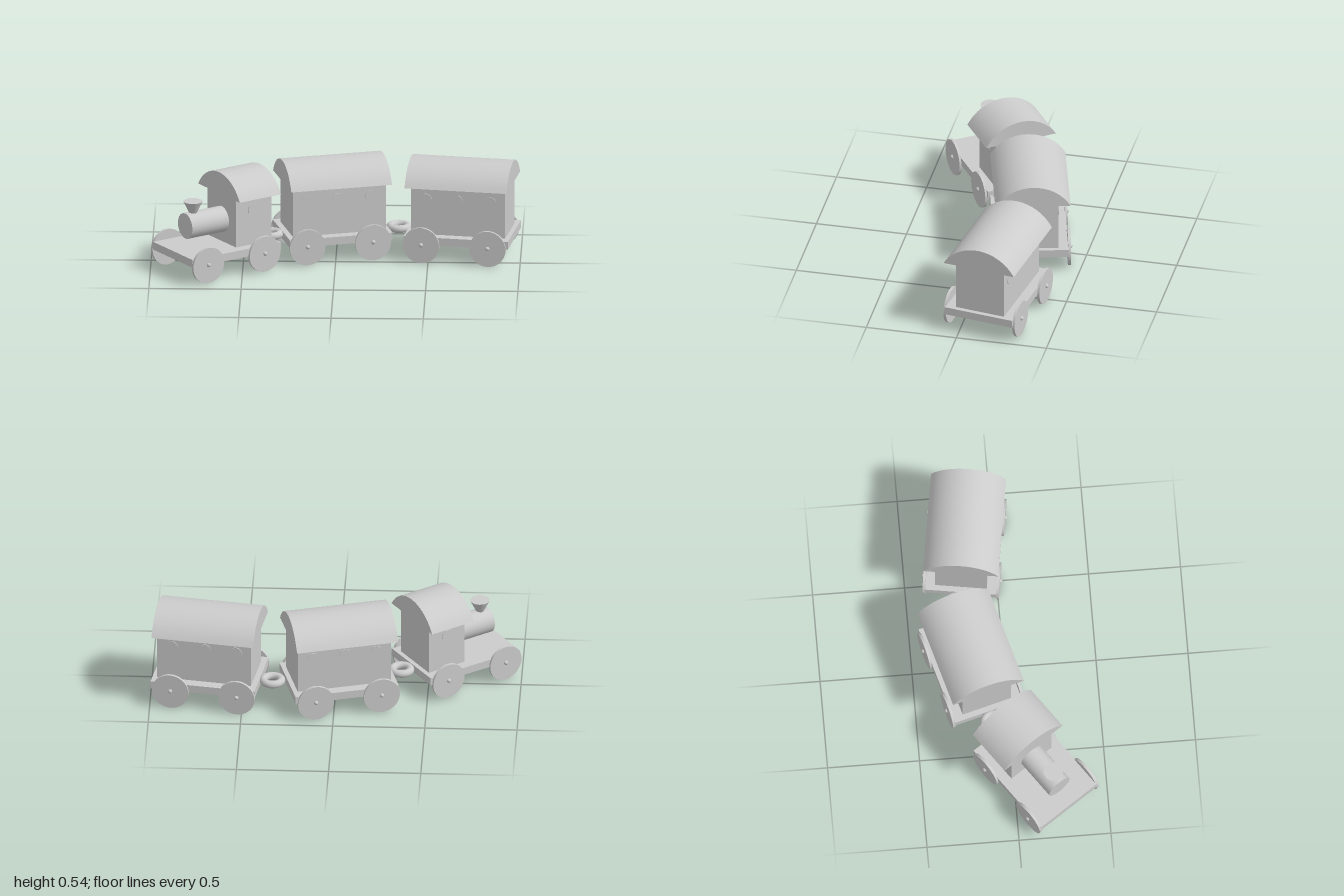
import * as THREE from 'three';
import { toCreasedNormals } from 'three/addons/utils/BufferGeometryUtils.js';

const material = new THREE.MeshStandardMaterial({ color: 0xcccccc });

function add(parent, name, geometry, x = 0, y = 0, z = 0) {
  const mesh = new THREE.Mesh(geometry, material);
  mesh.name = name;
  mesh.position.set(x, y, z);
  parent.add(mesh);
  return mesh;
}

// Box between two x positions and two heights, centred on z
function addBox(parent, name, x0, x1, y0, y1, depth) {
  return add(parent, name, new THREE.BoxGeometry(x1 - x0, y1 - y0, depth), (x0 + x1) / 2, (y0 + y1) / 2);
}

// Solid circular-segment roof running along x
function addRoof(parent, x0, x1) {
  const half = 0.204, rise = 0.12;
  const radius = (half * half + rise * rise) / (2 * rise);
  const spread = Math.asin(half / radius);
  const shape = new THREE.Shape();
  shape.absarc(0, rise - radius, radius, Math.PI / 2 - spread, Math.PI / 2 + spread, false);
  shape.closePath();
  let geometry = new THREE.ExtrudeGeometry(shape, { depth: x1 - x0, bevelEnabled: false, curveSegments: 8 });
  geometry.rotateY(Math.PI / 2);
  geometry = toCreasedNormals(geometry, 0.5);
  add(parent, 'roof', geometry, x0, 0.42, 0);
}

// Round windows on both long walls
function addWindows(parent, positions) {
  for (const x of positions) for (const side of [1, -1]) {
    const pane = add(parent, 'window', new THREE.CylinderGeometry(0.033, 0.033, 0.008, 24), x, 0.343, side * 0.14);
    pane.rotation.x = Math.PI / 2;
  }
}

// Platform with four wheels and hub caps, shared by all vehicles
function makeVehicle(name, x, z, degrees) {
  const group = new THREE.Group();
  group.name = name;
  group.position.set(x, 0, z);
  group.rotation.y = THREE.MathUtils.degToRad(degrees);
  addBox(group, 'platform', -0.287, 0.287, 0.101, 0.145, 0.392);
  for (const wx of [-0.19, 0.176]) for (const side of [1, -1]) {
    const wheel = add(group, 'wheel', new THREE.CylinderGeometry(0.1, 0.1, 0.015, 36), wx, 0.1, side * 0.2);
    wheel.rotation.x = Math.PI / 2;
    add(group, 'hubCap', new THREE.SphereGeometry(0.012, 16, 10), wx, 0.103, side * 0.208);
  }
  return group;
}

function makeEngine() {
  const engine = makeVehicle('engine', -0.641, 0.117, 35);
  addBox(engine, 'cab', 0.032, 0.262, 0.145, 0.421, 0.28);
  addRoof(engine, 0.014, 0.282);
  addWindows(engine, [0.143]);
  const boiler = add(engine, 'boiler', new THREE.CylinderGeometry(0.071, 0.071, 0.245, 32), -0.0835, 0.272, 0);
  boiler.rotation.z = Math.PI / 2;
  add(engine, 'chimney', new THREE.CylinderGeometry(0.053, 0.018, 0.072, 28), -0.155, 0.369, 0);
  return engine;
}

function makeWagon(name, x, z, degrees) {
  const wagon = makeVehicle(name, x, z, degrees);
  addBox(wagon, 'body', -0.256, 0.262, 0.145, 0.421, 0.28);
  addRoof(wagon, -0.281, 0.281);
  addWindows(wagon, [-0.174, -0.004, 0.179]);
  return wagon;
}

export function createModel() {
  const train = new THREE.Group();
  train.name = 'toyTrain';
  train.add(makeEngine());
  train.add(makeWagon('middleWagon', -0.0215, -0.183, 15.5));
  train.add(makeWagon('rearWagon', 0.682, -0.159, -9));
  // Flat coupling rings between vehicles
  for (const [x, z] of [[-0.355, -0.088], [0.338, -0.235]]) {
    const ring = add(train, 'coupling', new THREE.TorusGeometry(0.049, 0.021, 16, 36), x, 0.128, z);
    ring.rotation.x = Math.PI / 2;
  }
  return train;
}
